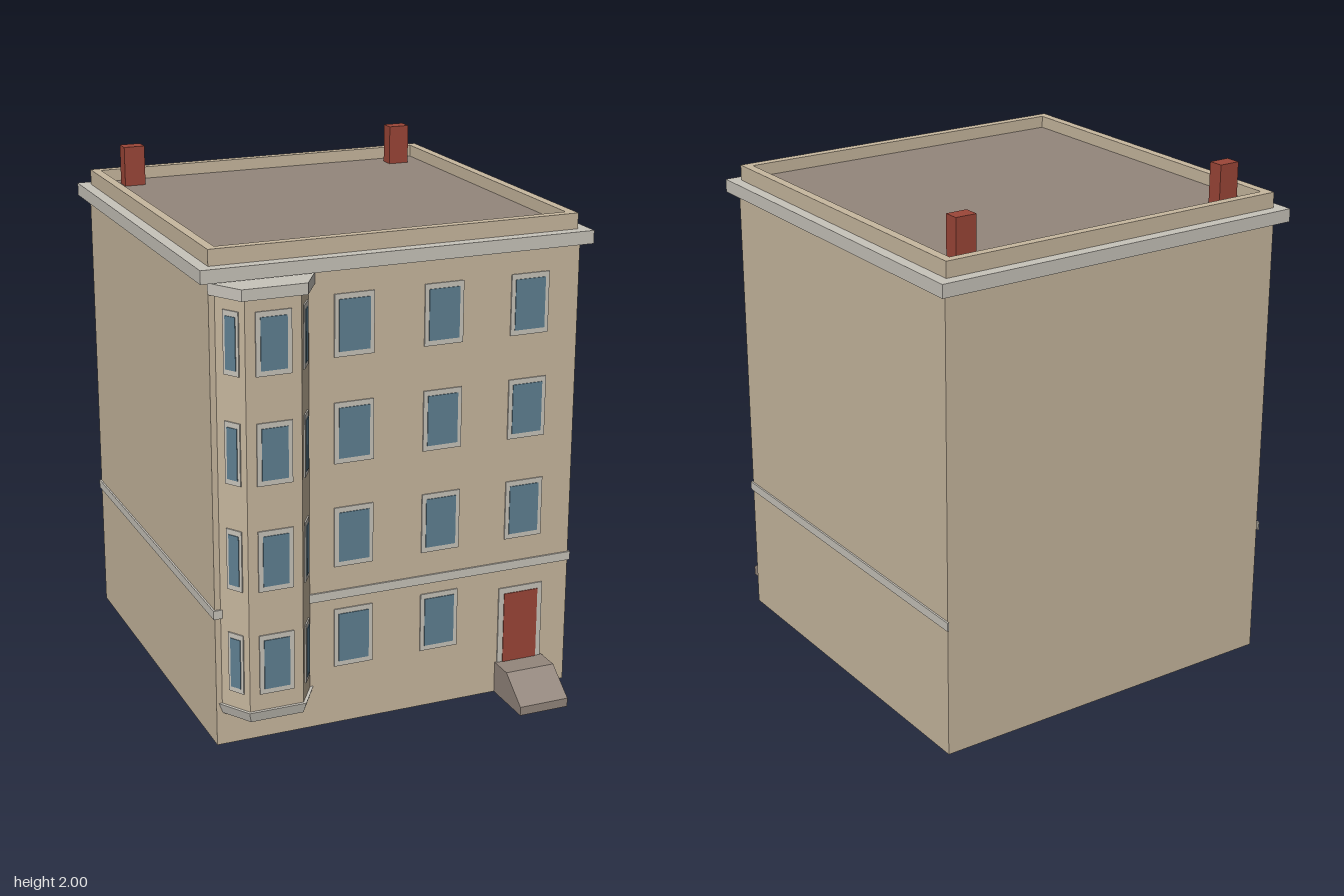
import * as THREE from 'three';

const mat = (name, color, side = THREE.FrontSide) => {
  const m = new THREE.MeshStandardMaterial({ color, side });
  m.name = name;
  return m;
};

export function createModel() {
  const model = new THREE.Group();
  model.name = 'townhouse';
  const wall = mat('sandstone', 0xc8b89f, THREE.DoubleSide);
  const trim = mat('pale stone', 0xc8c4bb);
  const glass = mat('window glass', 0x5f8092);
  const red = mat('brick red', 0x9c4638);
  const slate = mat('roof grey', 0x93867c);

  const add = (name, geometry, material, parent = model) => {
    const mesh = new THREE.Mesh(geometry, material);
    mesh.name = name;
    parent.add(mesh);
    return mesh;
  };
  // Box given by its limits on each axis
  const box = (name, material, x0, x1, y0, y1, z0, z1, parent) => {
    const g = new THREE.BoxGeometry(x1 - x0, y1 - y0, z1 - z0);
    g.translate((x0 + x1) / 2, (y0 + y1) / 2, (z0 + z1) / 2);
    return add(name, g, material, parent);
  };

  const W = 0.727, BACK = -0.816, FRONT = 0.636, MID = (BACK + FRONT) / 2;

  // Main walls: four sides, open underneath
  const body = new THREE.BoxGeometry(W * 2, 1.78, FRONT - BACK);
  const idx = Array.from(body.index.array);
  body.setIndex([...idx.slice(0, 12), ...idx.slice(24, 36)]);
  body.clearGroups();
  body.translate(0, 0.89, MID);
  add('walls', body, wall);

  // Cornice, parapet ring and sunken roof
  box('cornice', trim, -0.766, 0.766, 1.78, 1.83, -0.86, 0.67);
  const rect = (T, x, z0, z1) => {
    const s = new T();
    s.moveTo(-x, -z0);
    s.lineTo(x, -z0);
    s.lineTo(x, -z1);
    s.lineTo(-x, -z1);
    s.closePath();
    return s;
  };
  const ring = rect(THREE.Shape, 0.722, -0.816, 0.625);
  ring.holes.push(rect(THREE.Path, 0.687, -0.783, 0.59));
  const parapet = new THREE.ExtrudeGeometry(ring, { depth: 0.06, bevelEnabled: false });
  parapet.rotateX(-Math.PI / 2).translate(0, 1.83, 0);
  add('parapet', parapet, wall);
  box('roof', slate, -0.687, 0.687, 1.831, 1.843, -0.783, 0.59);

  // Chimneys
  for (const s of [-1, 1]) {
    const x = s * 0.58;
    box('chimney', red, x - 0.042, x + 0.042, 1.84, 2, -0.725, -0.665);
  }

  // String course on the front and both sides
  box('frontBand', trim, -0.734, 0.734, 0.513, 0.547, FRONT + 0.001, 0.644);
  box('leftBand', trim, W, 0.734, 0.513, 0.547, -0.824, 0.644);
  box('rightBand', trim, -0.734, -W, 0.513, 0.547, -0.824, 0.644);

  // Bay: trapezoid plan extruded upwards
  const BX = -0.53;
  const bayPrism = (name, material, back, front, z1, y0, y1, taper = 1) => {
    const s = new THREE.Shape([
      new THREE.Vector2(-back, 0), new THREE.Vector2(-front, FRONT - z1),
      new THREE.Vector2(front, FRONT - z1), new THREE.Vector2(back, 0),
    ]);
    const g = new THREE.ExtrudeGeometry(s, { depth: y1 - y0, bevelEnabled: false });
    g.rotateX(-Math.PI / 2);
    const p = g.attributes.position;
    for (let i = 0; i < p.count; i++) {
      if (p.getY(i) < 0.001) p.setXYZ(i, p.getX(i) * taper, p.getY(i), p.getZ(i) * taper);
    }
    g.translate(BX, y0, FRONT + 0.001);
    g.computeVertexNormals();
    return add(name, g, material);
  };
  bayPrism('bayWalls', wall, 0.175, 0.105, 0.745, 0.17, 1.735);
  bayPrism('bayCap', trim, 0.2, 0.122, 0.766, 1.733, 1.775);
  bayPrism('bayBase', trim, 0.188, 0.112, 0.757, 0.13, 0.17, 0.92);

  // Windows: thin frame plate with a pane on it, turned to face out
  const addWindow = (x, y, z, w, fw, angle = 0) => {
    const g = new THREE.Group();
    g.name = 'window';
    box('windowFrame', trim, -fw / 2, fw / 2, -0.117, 0.117, 0.001, 0.006, g);
    box('windowPane', glass, -w / 2, w / 2, -0.097, 0.097, 0.001, 0.009, g);
    g.position.set(x, y, z);
    g.rotation.y = angle;
    model.add(g);
  };
  const sideAngle = Math.atan2(0.11, 0.07);
  for (let floor = 0; floor < 4; floor++) {
    const y = 0.353 + floor * 0.4055;
    addWindow(BX, y, 0.746, 0.1, 0.135);
    for (const s of [-1, 1]) addWindow(BX + s * 0.1365, y, 0.697, 0.045, 0.068, s * sideAngle);
    addWindow(-0.18, y, FRONT, 0.122, 0.155);
    addWindow(0.174, y, FRONT, 0.122, 0.155);
    if (floor > 0) addWindow(0.524, y, FRONT, 0.122, 0.155);
  }

  // Door with surround
  box('doorFrame', trim, 0.43, 0.617, 0.1, 0.438, FRONT + 0.001, 0.642);
  box('door', red, 0.452, 0.596, 0.1, 0.414, FRONT + 0.001, 0.645);

  // Entrance ramp: side profile extruded across its width
  const profile = new THREE.Shape([
    [FRONT + 0.001, 0], [0.86, 0], [0.86, 0.035], [0.738, 0.126], [FRONT + 0.001, 0.126],
  ].map(([z, y]) => new THREE.Vector2(-z, y)));
  const step = new THREE.ExtrudeGeometry(profile, { depth: 0.204, bevelEnabled: false });
  step.rotateY(Math.PI / 2).translate(0.422, 0, 0);
  add('entranceStep', step, slate);

  return model;
}
